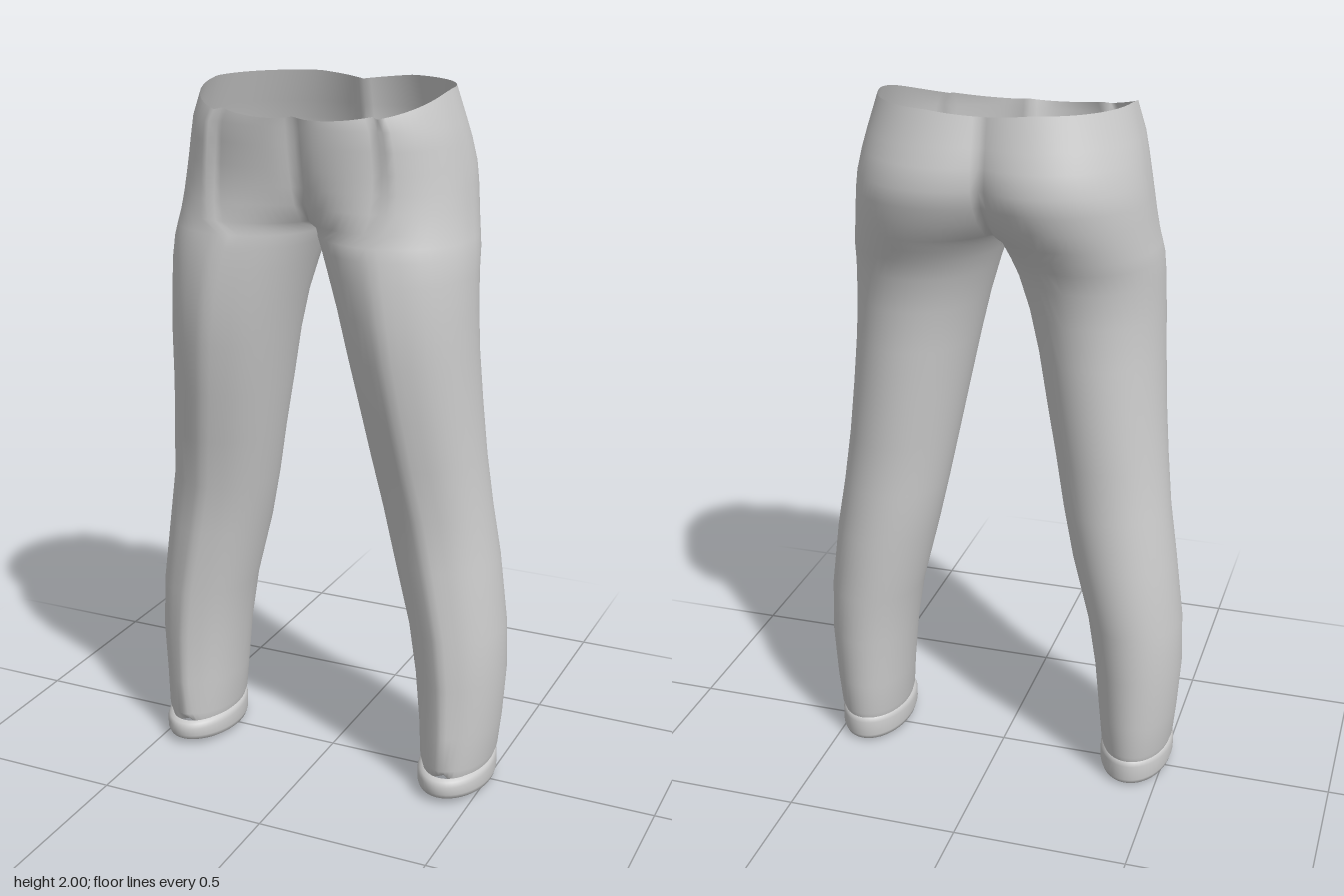
import * as THREE from 'three';
import { mergeVertices } from 'three/addons/utils/BufferGeometryUtils.js';

const SEGMENTS = 48;

// Leg sections from hem to waist: y, outer x, inner x, front z, back z.
// A negative inner x means the section is cut at the centre seam.
const LEG = [
  [0.065, 0.508, 0.322, 0.172, -0.130],
  [0.10, 0.520, 0.312, 0.180, -0.143],
  [0.20, 0.530, 0.303, 0.172, -0.148],
  [0.35, 0.540, 0.288, 0.173, -0.152],
  [0.50, 0.535, 0.264, 0.174, -0.155],
  [0.70, 0.510, 0.213, 0.175, -0.158],
  [0.85, 0.487, 0.180, 0.180, -0.145],
  [1.00, 0.469, 0.152, 0.212, -0.143],
  [1.15, 0.455, 0.123, 0.240, -0.147],
  [1.30, 0.445, 0.094, 0.268, -0.146],
  [1.42, 0.440, 0.066, 0.277, -0.150],
  [1.52, 0.436, 0.036, 0.276, -0.165],
  [1.58, 0.432, 0.014, 0.270, -0.190],
  [1.615, 0.425, 0.000, 0.266, -0.208],
  [1.65, 0.418, -0.030, 0.262, -0.228],
  [1.70, 0.410, -0.066, 0.259, -0.250],
  [1.75, 0.403, -0.092, 0.260, -0.268],
  [1.80, 0.395, -0.110, 0.264, -0.279],
  [1.86, 0.383, -0.123, 0.269, -0.268],
  [1.91, 0.371, -0.130, 0.273, -0.252],
  [2.00, 0.345, -0.137, 0.273, -0.228],
];

// Folded hem: radius scale and height
const CUFF = [
  [0.90, 0.082], [0.98, 0.076], [1.02, 0.062], [1.02, 0.028], [0.98, 0.014],
  [0.88, 0.006], [0.80, 0.006], [0.78, 0.022], [0.80, 0.070],
];

function legRing([y, outer, inner, front, back], row) {
  const cx = (outer + inner) / 2, rx = (outer - inner) / 2;
  const cz = (front + back) / 2, rz = (front - back) / 2;
  const sweep = inner >= 0 ? Math.PI : Math.acos(-cx / rx);
  const hips = THREE.MathUtils.smoothstep(y, 1.4, 1.75);
  const top = row === LEG.length - 1;
  const ring = [];
  for (let j = 0; j <= SEGMENTS; j++) {
    const u = (2 * j) / SEGMENTS - 1, a = u * sweep;
    const s = Math.abs(a) >= Math.PI - 1e-9 ? 0 : Math.sin(a);
    let z = s > 0 ? cz + rz * Math.pow(s, 0.95 - 0.2 * hips) : cz + rz * s;
    // pressed crease down the front, pinched at the hem
    const crease = Math.max(0, 1 - Math.abs(u - 0.5) / 0.1);
    z += (row === 0 ? -0.03 : 0.009 * (1 - hips)) * crease;
    // waist pleat stepping in towards the fly
    if (u > 0.51) z -= 0.022 * THREE.MathUtils.smoothstep(y, 1.58, 1.85) * Math.max(0, 1 - (u - 0.5) / 0.4);
    // waistline dips at the front and slightly at the centre back
    let py = y;
    if (top) py -= 0.07 * Math.pow(Math.max(0, z) / 0.275, 1.6) + 0.015 * Math.max(0, (-u - 0.7) / 0.3);
    let x = cx + rx * Math.cos(a);
    if (inner <= 0 && (j === 0 || j === SEGMENTS)) x = 0;
    ring.push([x, py, z]);
  }
  return ring;
}

function cuffRing([scale, y]) {
  const ring = [];
  for (let j = 0; j <= SEGMENTS; j++) {
    const a = ((2 * j) / SEGMENTS - 1) * Math.PI;
    ring.push([
      0.415 + 0.104 * scale * Math.cos(a),
      y - 0.006 * Math.sin(a) * (y > 0.03 ? 1 : -1),
      0.029 + 0.169 * scale * Math.sin(a),
    ]);
  }
  return ring;
}

// Skin the rings on one side and mirror them to the other.
function mirroredLoft(rings, sides, flip = false) {
  const pos = [], index = [], w = SEGMENTS + 1;
  for (const side of sides) {
    const base = pos.length / 3;
    rings.forEach(r => r.forEach(([x, y, z]) => pos.push(side * x, y, z)));
    for (let i = 0; i < rings.length - 1; i++) {
      for (let j = 0; j < SEGMENTS; j++) {
        const a = base + i * w + j, b = a + w, c = a + 1, d = b + 1;
        if ((side > 0) !== flip) index.push(a, b, c, c, b, d);
        else index.push(a, c, b, c, d, b);
      }
    }
  }
  const g = new THREE.BufferGeometry();
  g.setAttribute('position', new THREE.Float32BufferAttribute(pos, 3));
  g.setIndex(index);
  const merged = mergeVertices(g, 1e-4);
  merged.computeVertexNormals();
  return merged;
}

export function createModel() {
  const group = new THREE.Group();
  group.name = 'trousers';
  const cloth = new THREE.MeshStandardMaterial({ color: 0xcccccc, side: THREE.DoubleSide });
  cloth.name = 'light grey cloth';

  // Both legs and the seat, joined at the centre seam
  const body = new THREE.Mesh(mirroredLoft(LEG.map(legRing), [1, -1]), cloth);
  body.name = 'legsAndSeat';
  group.add(body);

  // Folded cuffs, listed from top to bottom
  for (const [name, side] of [['leftCuff', 1], ['rightCuff', -1]]) {
    const cuff = new THREE.Mesh(mirroredLoft(CUFF.map(cuffRing), [side], true), cloth);
    cuff.name = name;
    group.add(cuff);
  }
  return group;
}
